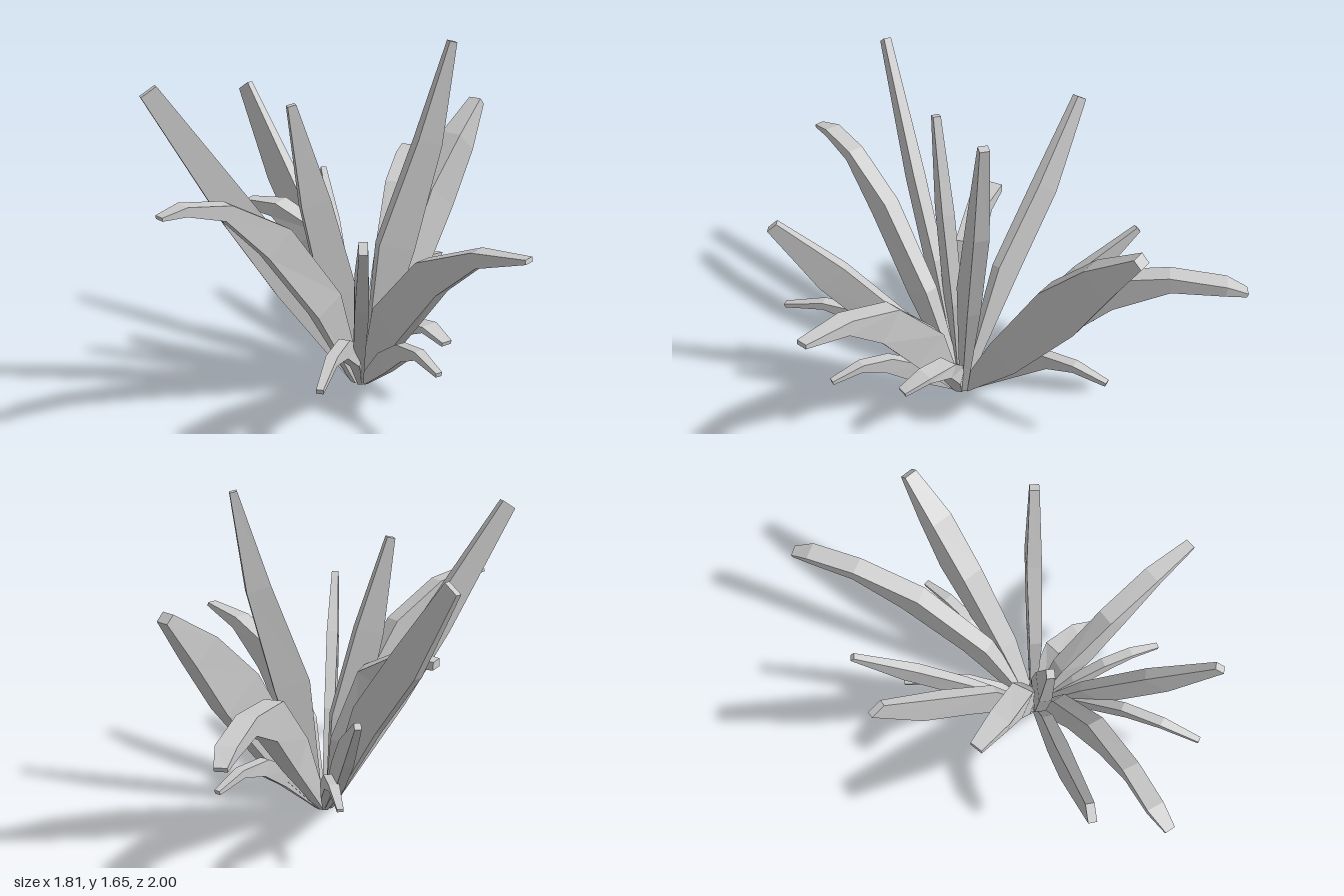
import * as THREE from 'three';

const material = new THREE.MeshStandardMaterial({ color: 0xcccccc, flatShading: true });
const ROOT = new THREE.Vector3(0.1, 0.03, 0.16);

// Each leaf: thickness, then stations [x, y, z, depth] from low on the blade to its tip
const uprightLeaves = [
  [0.07, [0.26, 0.7, 0.165, 0.18], [0.41, 1.2, 0.165, 0.12], [0.51, 1.66, 0.17, 0.035]],
  [0.06, [-0.25, 0.58, 0.19, 0.18], [-0.49, 0.94, 0.21, 0.16], [-0.86, 1.525, 0.24, 0.08]],
  [0.11, [0.35, 0.4, 0, 0.18], [0.58, 0.82, -0.17, 0.24], [0.74, 1.07, -0.27, 0.16], [0.88, 1.25, -0.37, 0.05]],
  [0.05, [0.12, 0.38, -0.24, 0.14], [0.135, 0.6, -0.47, 0.13], [0.15, 0.84, -0.73, 0.03]],
  [0.05, [-0.05, 0.6, -0.13, 0.18], [-0.17, 0.95, -0.36, 0.17], [-0.295, 1.355, -0.58, 0.08]],
  [0.06, [-0.02, 0.5, 0.16, 0.17], [-0.13, 0.95, 0.16, 0.14], [-0.235, 1.41, 0.16, 0.04]],
  [0.06, [0, 0.4, 0.45, 0.17], [-0.08, 0.73, 0.73, 0.17], [-0.15, 1.025, 0.97, 0.06]],
];
const archingLeaves = [
  [0.09, [0.3, 0.45, -0.12, 0.18], [0.46, 0.77, -0.42, 0.18], [0.6, 0.87, -0.68, 0.08], [0.71, 0.865, -0.9, 0.05], [0.745, 0.835, -0.99, 0.02]],
  [0.11, [0, 0.4, 0.1, 0.14], [-0.12, 0.75, 0.04, 0.14], [-0.25, 0.87, -0.06, 0.07], [-0.37, 0.87, -0.18, 0.04]],
  [0.08, [-0.12, 0.5, 0.29, 0.16], [-0.37, 0.87, 0.4, 0.16], [-0.6, 1.06, 0.49, 0.07], [-0.78, 1.105, 0.56, 0.04], [-0.88, 1.095, 0.61, 0.015]],
  [0.09, [0.18, 0.4, 0.36, 0.2], [0.29, 0.7, 0.57, 0.17], [0.42, 0.85, 0.77, 0.07], [0.55, 0.9, 0.97, 0.02]],
];
const lowLeaves = [
  [0.05, [0.32, 0.28, 0, 0.1], [0.46, 0.42, -0.15, 0.08], [0.58, 0.45, -0.25, 0.04], [0.7, 0.42, -0.36, 0.02]],
  [0.05, [0.14, 0.2, -0.04, 0.09], [0.155, 0.33, -0.2, 0.07], [0.165, 0.375, -0.35, 0.03], [0.175, 0.345, -0.52, 0.015]],
  [0.05, [0, 0.27, 0.4, 0.1], [-0.12, 0.42, 0.6, 0.08], [-0.22, 0.46, 0.77, 0.04], [-0.32, 0.425, 0.95, 0.02]],
  [0.05, [0.14, 0.22, 0.4, 0.1], [0.17, 0.34, 0.55, 0.08], [0.2, 0.385, 0.68, 0.04], [0.235, 0.36, 0.83, 0.02]],
  [0.09, [0.2, 0.2, 0.22, 0.1], [0.29, 0.34, 0.29, 0.07], [0.35, 0.375, 0.41, 0.03], [0.39, 0.345, 0.53, 0.02]],
];

// Loft a four-sided section along the leaf, its broad faces standing upright
function leafGeometry([thickness, ...stations]) {
  const points = stations.map(([x, y, z]) => new THREE.Vector3(x, y, z));
  const depths = [0.05, ...stations.map((s) => s[3])];
  const outward = points[1].clone().sub(ROOT).setY(0).normalize();
  points.unshift(ROOT.clone().addScaledVector(outward, 0.035));

  const last = points.length - 1;
  const up = new THREE.Vector3(0, 1, 0);
  const positions = [];
  const index = [];
  points.forEach((p, i) => {
    const along = points[Math.min(i + 1, last)].clone().sub(points[Math.max(i - 1, 0)]).normalize();
    const side = along.clone().cross(up).normalize();
    const rise = side.clone().cross(along);
    const t = thickness * (i === 0 ? 0.4 : i === last ? 0.6 : i === 1 ? 0.9 : 1);
    for (const [s, r] of [[1, 1], [-1, 1], [-1, -1], [1, -1]]) {
      const v = p.clone().addScaledVector(side, (s * t) / 2).addScaledVector(rise, (r * depths[i]) / 2);
      positions.push(v.x, Math.max(0, v.y), v.z);
    }
    if (i === last) return;
    for (let k = 0; k < 4; k++) {
      const a = i * 4 + k;
      const b = i * 4 + ((k + 1) % 4);
      index.push(a, a + 4, b + 4, a, b + 4, b);
    }
  });

  // Close the root and the blunt tip
  const e = last * 4;
  index.push(0, 1, 2, 0, 2, 3, e, e + 3, e + 2, e, e + 2, e + 1);
  const geometry = new THREE.BufferGeometry();
  geometry.setAttribute('position', new THREE.Float32BufferAttribute(positions, 3));
  geometry.setIndex(index);
  const flat = geometry.toNonIndexed();
  flat.computeVertexNormals();
  return flat;
}

function leafGroup(name, leafName, leaves) {
  const group = new THREE.Group();
  group.name = name;
  leaves.forEach((leaf, i) => {
    const mesh = new THREE.Mesh(leafGeometry(leaf), material);
    mesh.name = `${leafName}${i + 1}`;
    group.add(mesh);
  });
  return group;
}

export function createModel() {
  const plant = new THREE.Group();
  plant.name = 'spikyPlant';
  plant.add(
    leafGroup('uprightLeaves', 'uprightLeaf', uprightLeaves),
    leafGroup('archingLeaves', 'archingLeaf', archingLeaves),
    leafGroup('lowLeaves', 'lowLeaf', lowLeaves),
  );
  return plant;
}
